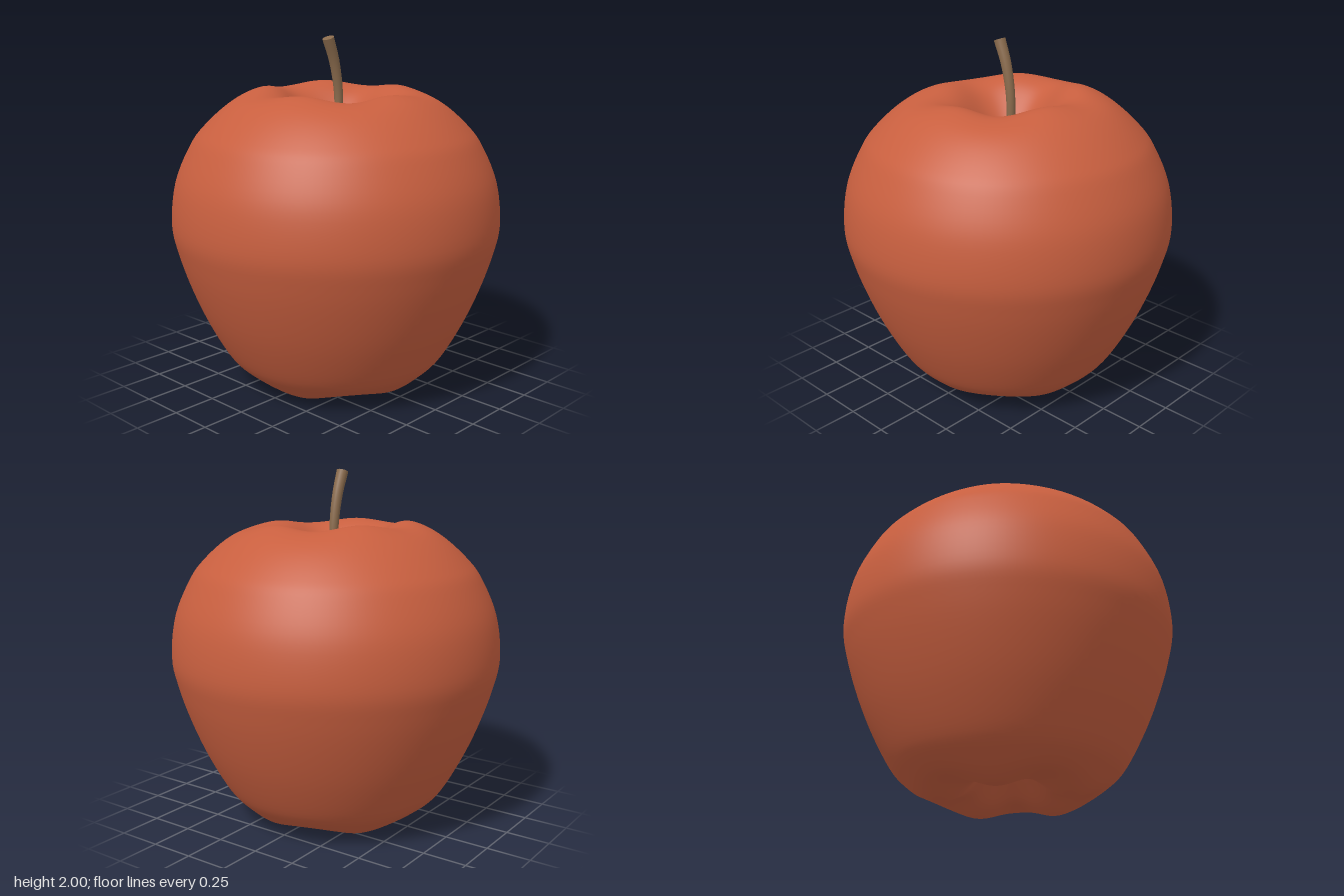
import * as THREE from 'three';
import { mergeVertices } from 'three/addons/utils/BufferGeometryUtils.js';

const skin = new THREE.MeshStandardMaterial({ color: 0xc85f3f });
skin.name = 'red skin';
const bark = new THREE.MeshStandardMaterial({ color: 0x8a6b4d });
bark.name = 'brown stem';

// Half outline (radius, height) from the bottom hollow, round the side, to the top hollow
const outline = [
  [0, 0.27], [0.06, 0.24], [0.15, 0.14], [0.25, 0.04], [0.37, 0.003], [0.47, 0.035],
  [0.56, 0.105], [0.645, 0.2], [0.755, 0.4], [0.84, 0.6], [0.905, 0.8], [0.936, 0.97],
  [0.907, 1.2], [0.82, 1.4], [0.745, 1.5], [0.63, 1.605], [0.52, 1.67], [0.4, 1.697],
  [0.29, 1.66], [0.18, 1.55], [0.08, 1.41], [0, 1.36],
];

function bodyGeometry() {
  const curve = new THREE.SplineCurve(outline.map(([r, y]) => new THREE.Vector2(r, y)));
  const points = curve.getPoints(105);
  points.forEach((p) => { p.x = Math.max(0, p.x); });
  points[0].x = points[points.length - 1].x = 0;
  let geo = new THREE.LatheGeometry(points, 120);
  geo.deleteAttribute('uv');
  geo.deleteAttribute('normal');

  // Five lobes round both rims; the top rim also leans a little
  const pos = geo.attributes.position;
  for (let i = 0; i < pos.count; i++) {
    const x = pos.getX(i), y = pos.getY(i), z = pos.getZ(i);
    const r = Math.hypot(x, z), a = Math.atan2(z, x);
    const lobe = Math.cos(5 * a);
    if (y > 1.2) {
      const w = Math.exp(-(((r - 0.37) / 0.16) ** 2));
      const lean = -0.014 * Math.cos(a - 0.45);
      pos.setY(i, y + w * (0.014 * lobe + lean - 0.003));
    } else if (y < 0.6) {
      const w = Math.exp(-(((r - 0.36) / 0.15) ** 2));
      pos.setY(i, y + w * 0.027 * (1 - lobe));
    }
  }
  geo = mergeVertices(geo, 1e-5);
  geo.computeVertexNormals();
  return geo;
}

function stemGeometry() {
  const path = new THREE.CatmullRomCurve3([
    new THREE.Vector3(0, 1.34, -0.015), new THREE.Vector3(0, 1.55, -0.022),
    new THREE.Vector3(0, 1.7, -0.018), new THREE.Vector3(0, 1.86, 0.014),
    new THREE.Vector3(0, 1.988, 0.063),
  ]);
  // Upright cylinder bent along the path and widened to the tip
  const geo = new THREE.CylinderGeometry(1, 1, 1, 20, 20);
  const pos = geo.attributes.position;
  const side = new THREE.Vector3(1, 0, 0), v = new THREE.Vector3();
  for (let i = 0; i < pos.count; i++) {
    const t = THREE.MathUtils.clamp(pos.getY(i) + 0.5, 0, 1);
    const radius = 0.023 + 0.01 * t * t;
    const across = new THREE.Vector3().crossVectors(side, path.getTangentAt(t));
    v.copy(path.getPointAt(t))
      .addScaledVector(side, pos.getX(i) * radius)
      .addScaledVector(across, pos.getZ(i) * radius);
    pos.setXYZ(i, v.x, v.y, v.z);
  }
  geo.computeVertexNormals();
  return geo;
}

export function createModel() {
  const model = new THREE.Group();
  model.name = 'apple';
  const body = new THREE.Mesh(bodyGeometry(), skin);
  body.name = 'body';
  const stem = new THREE.Mesh(stemGeometry(), bark);
  stem.name = 'stem';
  model.add(body, stem);
  return model;
}
